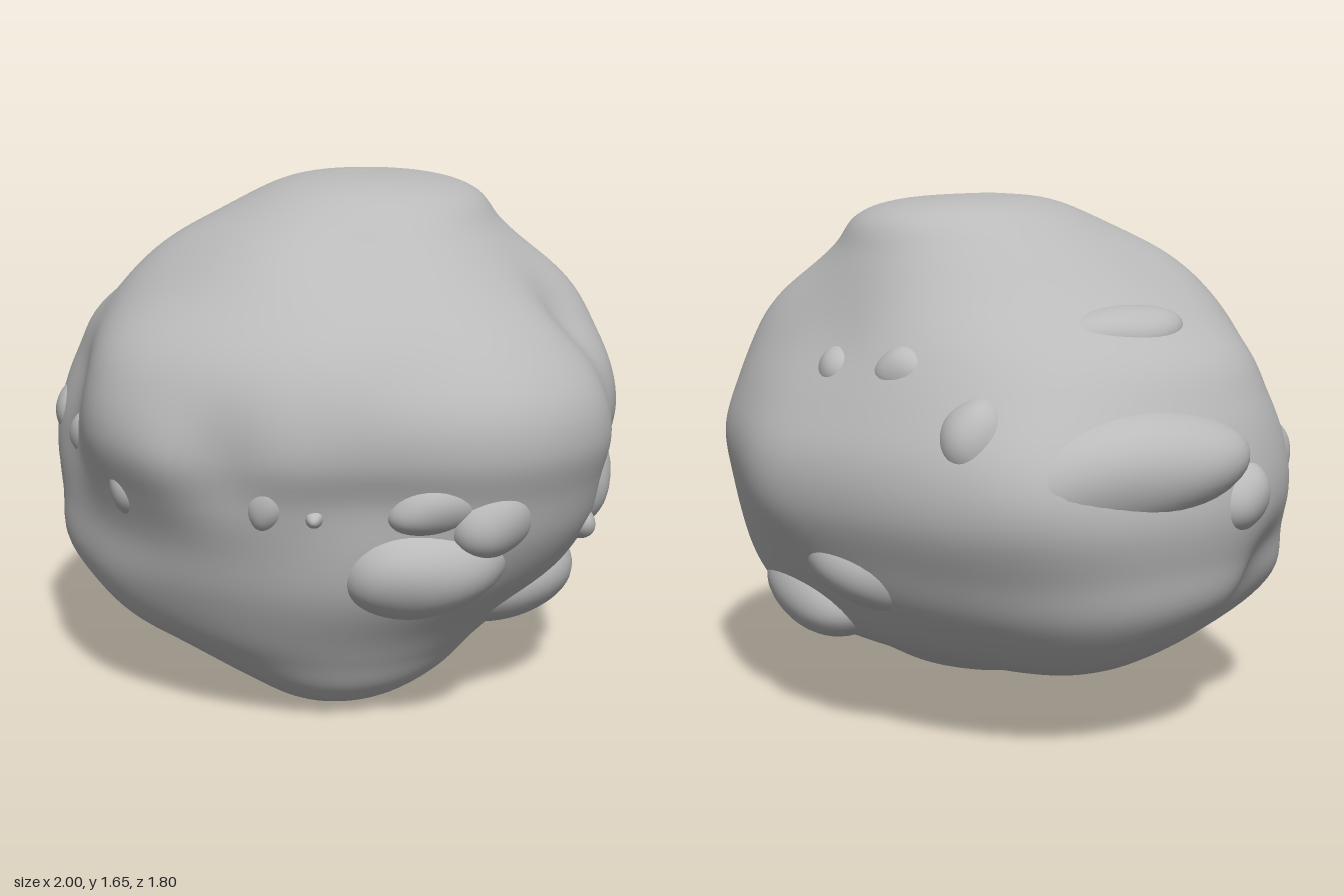
import * as THREE from 'three';
import { mergeVertices } from 'three/addons/utils/BufferGeometryUtils.js';

const stone = new THREE.MeshStandardMaterial({ color: 0xbababa });
stone.name = 'grey stone';

// Height, then the reach of the boulder towards +x, -x, +z and -z
const rings = [
  [0.00, 0.21, 0.19, 0.21, 0.19],
  [0.03, 0.38, 0.02, 0.39, -0.03],
  [0.10, 0.49, -0.18, 0.50, -0.25],
  [0.20, 0.57, -0.46, 0.60, -0.44],
  [0.30, 0.66, -0.68, 0.68, -0.63],
  [0.45, 0.81, -0.87, 0.75, -0.75],
  [0.60, 0.91, -0.92, 0.79, -0.82],
  [0.75, 0.96, -0.95, 0.84, -0.87],
  [0.90, 1.00, -0.93, 0.88, -0.87],
  [1.05, 0.97, -0.88, 0.85, -0.81],
  [1.20, 0.85, -0.79, 0.77, -0.73],
  [1.35, 0.67, -0.57, 0.61, -0.65],
  [1.48, 0.53, -0.41, 0.45, -0.57],
  [1.58, 0.43, -0.27, 0.27, -0.50],
  [1.63, 0.28, -0.15, 0.12, -0.37],
  [1.65, 0.03, 0.01, -0.09, -0.11],
];

// Broad swells and hollows: centre, radius, height
const swells = [
  [0.64, 0.85, 0.62, 0.32, -0.09],
  [-0.66, 1.1, 0.58, 0.3, -0.07],
  [-0.5, 0.85, 0.68, 0.25, -0.05],
  [-0.64, 0.42, 0.55, 0.22, 0.03],
  [-0.84, 0.48, 0.24, 0.15, -0.06],
  [-0.68, 0.85, -0.62, 0.36, 0.09],
  [-0.76, 0.9, -0.72, 0.16, 0.03],
  [0.85, 0.8, -0.36, 0.2, -0.05],
  [0.7, 0.85, -0.64, 0.18, 0.02],
  [0.87, 1.0, -0.24, 0.14, -0.04],
  [0.75, 1.2, -0.24, 0.14, -0.05],
  [0.56, 1.25, -0.5, 0.22, 0.06],
  [0.62, 1.1, 0.44, 0.16, -0.025],
  [0.36, 1.42, 0.34, 0.18, -0.03],
  [0.23, 0.9, 0.82, 0.14, -0.035],
  [-0.2, 1.05, 0.8, 0.25, 0.03],
  [-0.42, 1.4, 0.4, 0.22, 0.04],
  [0.05, 0.85, 0.86, 0.14, 0.02],
  [-0.3, 0.4, 0.62, 0.2, 0.03],
  [-0.6, 0.3, -0.3, 0.3, 0.06],
  [0.5, 0.42, -0.56, 0.28, 0.07],
  [0.1, 1.3, -0.68, 0.22, -0.03],
  [0.2, 0.75, -0.87, 0.22, 0.03],
];

function bodyGeometry(rows = 96, cols = 128) {
  // Four smooth outlines share one parameter, so their heights agree
  const outlines = [1, 2, 3, 4].map(k => new THREE.CatmullRomCurve3(
    rings.map(r => new THREE.Vector3(r[k], r[0], 0)), false, 'catmullrom', 0.5));
  const core = new THREE.Vector3(0, 0.8, 0);
  const positions = [], index = [];
  for (let i = 0; i <= rows; i++) {
    const [right, left, front, back] = outlines.map(c => c.getPoint(i / rows));
    for (let j = 0; j < cols; j++) {
      const a = j / cols * Math.PI * 2;
      const p = new THREE.Vector3(
        (right.x + left.x) / 2 + (right.x - left.x) / 2 * Math.cos(a),
        right.y,
        (front.x + back.x) / 2 + (front.x - back.x) / 2 * Math.sin(a));
      if (i === 0 || i === rows) p.set((right.x + left.x) / 2, right.y, (front.x + back.x) / 2);
      let push = 0;
      for (const [x, y, z, radius, height] of swells) {
        const d2 = (p.x - x) ** 2 + (p.y - y) ** 2 + (p.z - z) ** 2;
        push += height * Math.exp(-d2 / (radius * radius));
      }
      p.addScaledVector(p.clone().sub(core).normalize(), push);
      positions.push(p.x, p.y, p.z);
      if (i < rows) {
        const n = (j + 1) % cols, lo = i * cols, hi = lo + cols;
        index.push(lo + j, hi + j, lo + n, hi + j, hi + n, lo + n);
      }
    }
  }
  let geometry = new THREE.BufferGeometry();
  geometry.setAttribute('position', new THREE.Float32BufferAttribute(positions, 3));
  geometry.setIndex(index);
  geometry = mergeVertices(geometry, 1e-5);
  geometry.computeVertexNormals();
  return geometry;
}

// Rounded stone, gently uneven
function pebbleGeometry(seed) {
  let geometry = new THREE.SphereGeometry(1, 40, 28);
  geometry.deleteAttribute('uv');
  geometry.deleteAttribute('normal');
  geometry = mergeVertices(geometry, 1e-4);
  const pos = geometry.attributes.position, p = new THREE.Vector3();
  for (let i = 0; i < pos.count; i++) {
    p.fromBufferAttribute(pos, i);
    p.multiplyScalar(1 + 0.06 * Math.sin(3 * p.x + seed) * Math.cos(2.5 * p.y + seed * 2));
    pos.setXYZ(i, p.x, p.y, p.z);
  }
  geometry.computeVertexNormals();
  return geometry;
}

// Name, centre, half sizes (across, up, outward), roll
const lumps = [
  ['frontKnob', [-0.17, 0.76, 0.76], [0.075, 0.1, 0.08], 0.2],
  ['frontKnob', [0.30, 0.77, 0.705], [0.065, 0.095, 0.08], -0.2],
  ['frontKnob', [-0.48, 0.84, 0.59], [0.06, 0.09, 0.08], -0.2],
  ['smallFrontKnob', [0.43, 0.73, 0.655], [0.03, 0.03, 0.05], 0],
  ['frontRightBulge', [0.61, 0.56, 0.34], [0.28, 0.17, 0.2], 0.25],
  ['frontRightUpperBulge', [0.69, 0.76, 0.38], [0.18, 0.1, 0.11], 0.15],
  ['rightKnob', [0.80, 0.70, 0.28], [0.14, 0.12, 0.1], 0],
  ['rightBackKnob', [0.76, 0.71, -0.28], [0.2, 0.16, 0.13], 0.1],
  ['rightPebble', [0.86, 0.59, -0.17], [0.05, 0.05, 0.05], 0],
  ['lowerRightSlab', [0.48, 0.38, -0.22], [0.38, 0.19, 0.29], -0.05],
  ['lowerRightBackSlab', [0.36, 0.41, -0.47], [0.42, 0.17, 0.22], -0.05],
  ['backKnob', [0.05, 1.13, -0.68], [0.09, 0.08, 0.08], 0],
  ['backKnob', [-0.22, 1.15, -0.66], [0.1, 0.08, 0.08], 0.1],
  ['backLeftKnob', [-0.51, 0.98, -0.65], [0.11, 0.13, 0.12], 0],
  ['lowerBackSlab', [-0.07, 0.56, -0.69], [0.26, 0.13, 0.14], -0.2],
  ['upperLeftRidge', [-0.58, 1.25, -0.15], [0.23, 0.09, 0.12], 0.1],
  ['leftSlab', [-0.74, 0.88, -0.34], [0.42, 0.18, 0.2], 0.15],
  ['leftKnob', [-0.89, 0.78, 0.04], [0.12, 0.11, 0.1], 0],
  ['frontLeftKnob', [-0.72, 0.85, 0.36], [0.17, 0.12, 0.1], -0.2],
];

export function createModel() {
  const model = new THREE.Group();
  model.name = 'boulder';
  const body = new THREE.Mesh(bodyGeometry(), stone);
  body.name = 'body';
  model.add(body);
  lumps.forEach(([name, centre, size, roll], i) => {
    const lump = new THREE.Mesh(pebbleGeometry(i * 1.7), stone);
    lump.name = name;
    lump.position.set(...centre);
    lump.scale.set(...size);
    // Turn to face away from the middle
    lump.rotation.set(0, Math.atan2(centre[0], centre[2]), roll, 'YXZ');
    model.add(lump);
  });
  return model;
}
